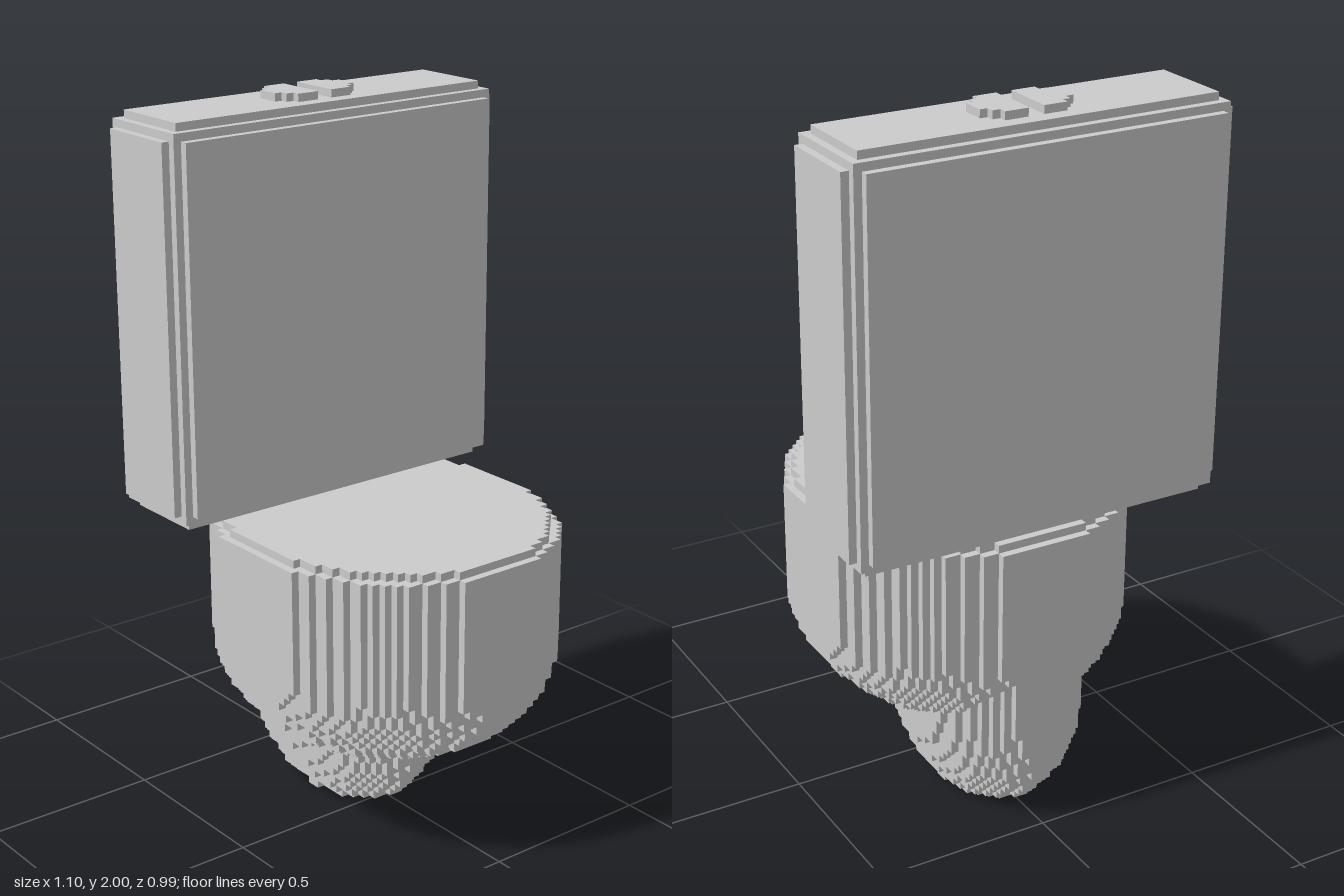
import * as THREE from 'three';

const V = 2 / 91; // edge of one cube
const material = new THREE.MeshStandardMaterial({ color: 0xcccccc, flatShading: true });

// Block measured in cubes, placed by its centre
function block(name, w, h, d, x, y, z) {
  const mesh = new THREE.Mesh(new THREE.BoxGeometry(w * V, h * V, d * V), material);
  mesh.name = name;
  mesh.position.set(x * V, y * V, z * V);
  return mesh;
}

// Outer faces of all cubes for which solid(i, j, k) is true;
// a cube spans i..i+1 in x, j..j+1 in y and k-0.5..k+0.5 in z
function cubeSurface(solid, [x0, x1], [y0, y1], [z0, z1]) {
  const positions = [];
  const corners = [[-1, -1], [1, -1], [1, 1], [-1, -1], [1, 1], [-1, 1]];
  for (let i = x0; i < x1; i++) for (let j = y0; j < y1; j++) for (let k = z0; k < z1; k++) {
    if (!solid(i, j, k)) continue;
    const centre = [i + 0.5, j + 0.5, k];
    for (let axis = 0; axis < 3; axis++) for (const side of [-1, 1]) {
      const next = [i, j, k];
      next[axis] += side;
      if (solid(...next)) continue;
      for (const [a, b] of corners) {
        const p = [...centre];
        p[axis] += side / 2;
        p[(axis + 1) % 3] += (a * side) / 2;
        p[(axis + 2) % 3] += b / 2;
        positions.push(p[0] * V, p[1] * V, p[2] * V);
      }
    }
  }
  const geometry = new THREE.BufferGeometry();
  geometry.setAttribute('position', new THREE.Float32BufferAttribute(positions, 3));
  geometry.computeVertexNormals();
  return geometry;
}

// Upright elliptical cylinder whose lower end is a half ellipsoid
function roundBottom(x, y, z, rx, rz, yc, ry) {
  const drop = Math.max(0, yc - y) / ry;
  return (x / rx) ** 2 + (z / rz) ** 2 + drop ** 2 < 1;
}

function bowlAndPedestal(i, j, k) {
  if (j < 0 || j > 39) return false;
  const x = i + 0.5, y = j + 0.5;
  const inset = j === 39 ? 1 : 0; // softened rim
  return roundBottom(x, y, k, 20.5 - inset, 23 - inset, 24, 14.4)
    || roundBottom(x, y, k + 7.5, 10.5 - inset, 15.5 - inset, 14.5, 16.5);
}

export function createModel() {
  const model = new THREE.Group();
  model.name = 'toilet';

  // Bowl with closed top, merged with the foot
  const bowl = new THREE.Mesh(
    cubeSurface(bowlAndPedestal, [-22, 22], [0, 40], [-24, 25]), material);
  bowl.name = 'bowlAndPedestal';
  model.add(bowl);

  // Cistern: overlapping blocks give the stepped, rounded edges
  const tank = new THREE.Group();
  tank.name = 'cistern';
  for (const [a, b, c] of [[0, 2, 2], [2, 0, 2], [2, 2, 0], [1, 1, 1]]) {
    tank.add(block('cisternBlock', 50 - 2 * a, 50 - 2 * b, 15 - 2 * c, 0, 65, -15));
  }
  model.add(tank);

  // Split flush button
  for (const side of [-1, 1]) {
    const button = new THREE.Group();
    button.name = side > 0 ? 'leftFlushButton' : 'rightFlushButton';
    for (const [w, d] of [[3, 7], [4, 5], [5, 3]]) {
      button.add(block('buttonBlock', w, 1, d, side * (1 + w / 2), 90.5, -15));
    }
    model.add(button);
  }
  return model;
}
